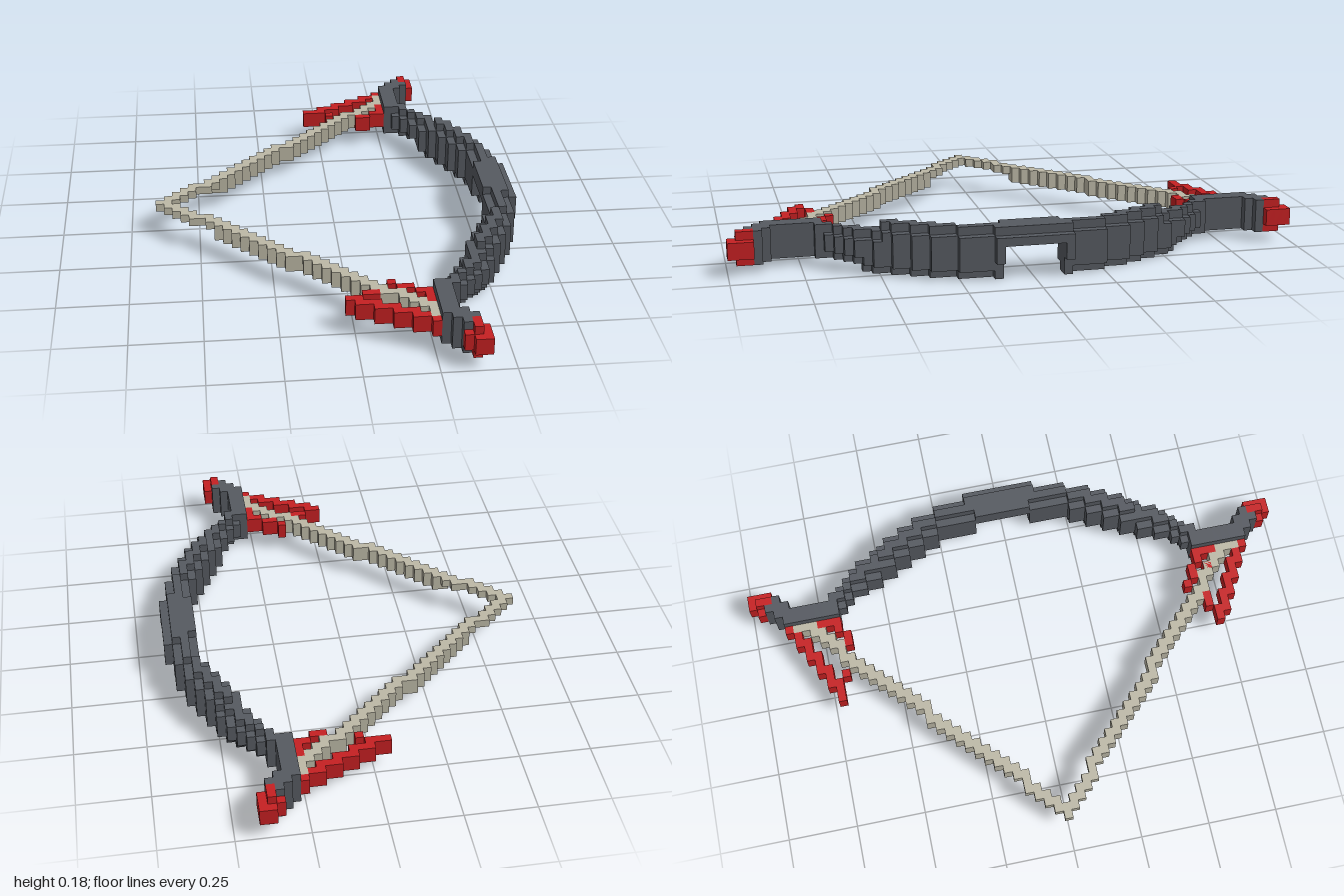
import * as THREE from 'three';
import { mergeGeometries } from 'three/addons/utils/BufferGeometryUtils.js';

const V = 2 / 67; // edge of one cube cell

// One block: x and y ranges in cells, k = row along z (row 0 is centred)
function block(x0, x1, y0, y1, k) {
  const g = new THREE.BoxGeometry((x1 - x0) * V, (y1 - y0) * V, V);
  g.translate((x0 + x1) / 2 * V, (y0 + y1) / 2 * V, k * V);
  return g;
}

function part(name, blocks, material) {
  const mesh = new THREE.Mesh(mergeGeometries(blocks), material);
  mesh.name = name;
  return mesh;
}

// Limb rows outward from the middle: [inner x, outer x]
const LIMB = [
  [18, 22], [18, 22], [18, 22], [18, 22], [18, 22], [18, 21], [18, 21], [18, 21],
  [18, 21], [17, 20], [17, 20], [16, 20], [16, 19], [15, 19], [15, 18], [14, 18],
  [14, 17], [13, 17], [13, 16], [12, 16], [12, 15], [11, 14], [10, 13], [9, 12],
  [9, 11], [9, 11], [9, 11], [9, 11], [9, 11], [9, 12], [10, 13], [11, 12],
];

// Tassel strands: [row, x start, x end]
const TASSEL = [
  [24, -1, 1], [25, 0, 3], [26, 2, 5], [27, 4, 7], [28, 6, 8], [29, 8, 9],
  [22, 5, 7], [23, 7, 9], [24, 8, 9], [25, 8, 9],
];
const TASSEL_BACK = [[24, -2, -1], [23, 1, 2]];
const TASSEL_FRONT = [[21, 4, 5], [23, 1, 3], [24, 6, 7]];

function limbRow(k, s) {
  const [a, b] = LIMB[k];
  const low = k < 4 ? 4 : k < 19 ? 0 : 1;
  const top = k < 17 ? 6 : 5;
  if (k > 22) return [block(a, b, low, top, s * k)];
  // the grip is thin, the rest has stepped edges
  if (k < 4) return [block(a, b - 1, low, top, s * k), block(b - 1, b, 4, 5, s * k)];
  return [
    block(a, a + 1, low + 1, top - 1, s * k),
    block(a + 1, b - 1, low, top, s * k),
    block(b - 1, b, k === 4 ? 2 : low + 1, top - 1, s * k),
  ];
}

export function createModel() {
  const grey = new THREE.MeshStandardMaterial({ color: 0x565a61 });
  grey.name = 'dark grey';
  const red = new THREE.MeshStandardMaterial({ color: 0xc62022 });
  red.name = 'red';
  const cream = new THREE.MeshStandardMaterial({ color: 0xbdb9a7 });
  cream.name = 'string cream';

  const bow = new THREE.Group();
  bow.name = 'bow';

  // Grip in the middle
  const grip = [];
  for (let k = -3; k <= 3; k++) grip.push(...limbRow(Math.abs(k), Math.sign(k)));
  bow.add(part('grip', grip, grey));

  for (const s of [-1, 1]) {
    const side = s > 0 ? 'front' : 'back';

    // Curved limb
    const limb = [];
    for (let k = 4; k < LIMB.length; k++) limb.push(...limbRow(k, s));
    bow.add(part(side + 'Limb', limb, grey));

    // Red limb tip with a cross-shaped section
    bow.add(part(side + 'Tip', [
      block(12, 14, 2, 4, 31 * s), block(12, 13, 1, 5, 31 * s),
      block(11, 14, 2, 4, 32 * s), block(12, 13, 1, 5, 32 * s),
      block(12, 14, 2, 4, 33 * s),
    ], red));

    // Drawn string, stepping from the nock to the limb
    const string = [];
    const startX = k => Math.round(-22 + 1.107 * k);
    for (let k = s > 0 ? 0 : 1; k <= 28; k++) {
      const x0 = startX(k);
      const x1 = Math.min(9, Math.max(x0 + 2, startX(k + 1) + 1));
      string.push(block(Math.min(x0, 8), x1, k < 6 ? 3 : 2, 4, k * s));
    }
    bow.add(part(side + 'String', string, cream));

    // Tassels beside the string
    const strands = [...TASSEL, ...(s > 0 ? TASSEL_FRONT : TASSEL_BACK)];
    bow.add(part(side + 'Tassel', strands.map(([k, a, b]) => block(a, b, 2, 4, k * s)), red));
  }
  return bow;
}
